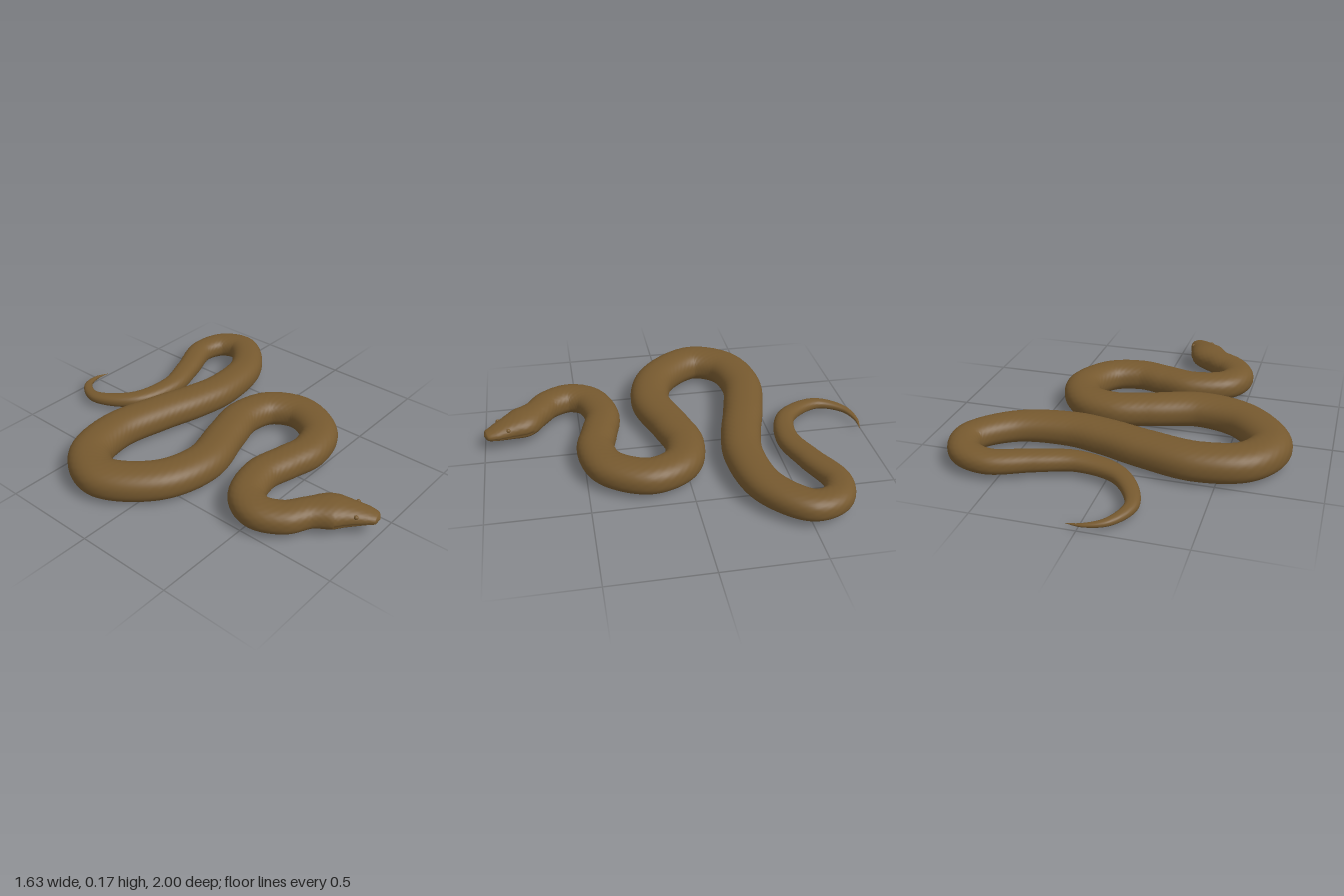
import * as THREE from 'three';

// Stations from snout to tail tip: x, z, half width, then (head only) half height and centre height
const stations = [
  [-0.11, 0.997, 0.0, 0.0, 0.1], [-0.113, 0.985, 0.036, 0.02, 0.1], [-0.125, 0.945, 0.055, 0.032, 0.102],
  [-0.16, 0.875, 0.076, 0.05, 0.103], [-0.205, 0.8, 0.1, 0.064, 0.102], [-0.28, 0.725, 0.08, 0.064, 0.1],
  [-0.375, 0.655, 0.085], [-0.425, 0.54, 0.088], [-0.375, 0.435, 0.089], [-0.2, 0.377, 0.091],
  [-0.035, 0.41, 0.093], [0.11, 0.44, 0.095], [0.275, 0.387, 0.097], [0.372, 0.2, 0.098],
  [0.3, 0.04, 0.099], [0.135, -0.01, 0.1], [-0.05, 0.032, 0.102], [-0.31, 0.1, 0.105],
  [-0.55, 0.027, 0.107], [-0.71, -0.2, 0.108], [-0.625, -0.37, 0.108], [-0.4, -0.432, 0.108],
  [-0.13, -0.38, 0.106], [0.08, -0.318, 0.103], [0.277, -0.285, 0.099], [0.555, -0.335, 0.091],
  [0.725, -0.503, 0.083], [0.69, -0.63, 0.077], [0.557, -0.68, 0.07], [0.345, -0.605, 0.064],
  [0.145, -0.55, 0.058], [-0.075, -0.61, 0.048], [-0.193, -0.81, 0.034], [-0.13, -0.947, 0.022],
  [-0.03, -0.99, 0.011], [0.06, -0.985, 0.0],
].map(([x, z, w, h = w * 0.79, y = Math.min(0.095, h + 0.03)]) => ({ x, y, z, w, h }));

const LAST = stations.length - 1;
const spine = new THREE.CatmullRomCurve3(stations.map(s => new THREE.Vector3(s.x, s.y, s.z)));
const girth = new THREE.CatmullRomCurve3(stations.map(s => new THREE.Vector3(s.w, s.h, 0)), false, 'catmullrom', 0.5);
const UP = new THREE.Vector3(0, 1, 0);
const rounded = v => Math.sign(v) * Math.pow(Math.abs(v), 0.88);

// Point on the skin at spine parameter t and angle a; dist is the length travelled along the spine
function skinPoint(t, a, dist) {
  const p = spine.getPoint(t), g = girth.getPoint(t), dir = spine.getTangent(t).setY(0).normalize();
  const side = new THREE.Vector3().crossVectors(UP, dir);
  const k = t * LAST;
  let w = Math.max(0, g.x), h = Math.max(0, g.y);
  if (k > LAST - 1e-6 || k < 1e-6) w = h = 0;
  // Mouth line round the front of the head
  const sideAngle = Math.asin(Math.sin(a));
  const mouth = k < 4 ? 0.06 * Math.exp(-(((sideAngle + 0.3) / 0.1) ** 2)) : 0;
  // Small staggered scales on the back and flanks
  const back = THREE.MathUtils.smoothstep(Math.sin(a), -0.6, 0);
  const scale = back * 0.006 * Math.cos(a * 14) * Math.cos(dist * 150);
  const f = 1 - mouth + scale;
  return p.addScaledVector(side, w * f * rounded(Math.cos(a))).addScaledVector(UP, h * f * rounded(Math.sin(a)));
}

// Sweep the cross-section along the spine
function bodyGeometry(along, around) {
  const pos = [], index = [];
  let dist = 0, prev = spine.getPoint(0);
  for (let i = 0; i <= along; i++) {
    const t = i / along, here = spine.getPoint(t);
    dist += here.distanceTo(prev);
    prev = here;
    for (let j = 0; j < around; j++) {
      pos.push(...skinPoint(t, (j / around) * Math.PI * 2, dist).toArray());
      if (i === along) continue;
      const a = i * around + j, b = i * around + ((j + 1) % around);
      index.push(a, b, a + around, b, b + around, a + around);
    }
  }
  const geo = new THREE.BufferGeometry();
  geo.setAttribute('position', new THREE.Float32BufferAttribute(pos, 3));
  geo.setIndex(index);
  geo.computeVertexNormals();
  return geo;
}

export function createModel() {
  const group = new THREE.Group();
  group.name = 'snake';
  const skin = new THREE.MeshStandardMaterial({ color: 0x76592f });
  skin.name = 'brown skin';

  const body = new THREE.Mesh(bodyGeometry(LAST * 20, 56), skin);
  body.name = 'body';
  group.add(body);

  // Eyes set into both sides of the head
  for (const [name, angle] of [['leftEye', 0.6], ['rightEye', Math.PI - 0.6]]) {
    const eye = new THREE.Mesh(new THREE.SphereGeometry(0.011, 16, 12), skin);
    eye.name = name;
    eye.position.copy(skinPoint(2.7 / LAST, angle, 0));
    eye.position.y -= 0.003;
    group.add(eye);
  }
  return group;
}
